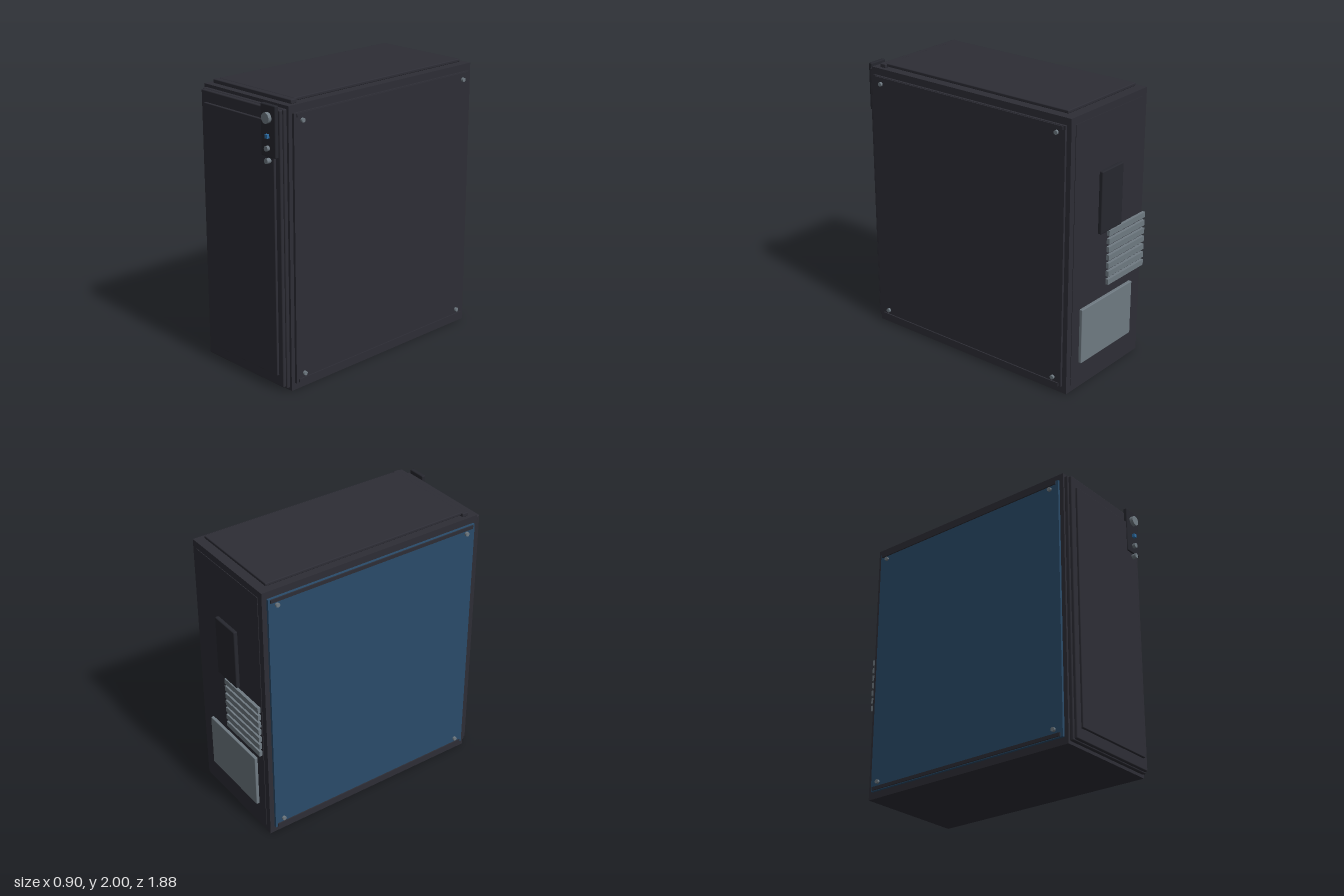
import * as THREE from 'three';
import { RoundedBoxGeometry } from 'three/addons/geometries/RoundedBoxGeometry.js';

const mat = (name, color) => new THREE.MeshStandardMaterial({ name, color });

export function createModel() {
  const shell = mat('charcoal shell', 0x2d2d35);
  const trim = mat('dark trim', 0x26272e);
  const glass = mat('blue tinted glass', 0x2a4b69);
  const metal = mat('grey metal', 0x6f7a82);
  const light = mat('blue light', 0x2c6ca3);

  const model = new THREE.Group();
  model.name = 'computerTower';

  // Box given by its limits on each axis, optionally with rounded edges
  function box(name, material, [x0, x1], [y0, y1], [z0, z1], radius = 0) {
    const size = [x1 - x0, y1 - y0, z1 - z0];
    const geometry = radius
      ? new RoundedBoxGeometry(...size, 2, radius)
      : new THREE.BoxGeometry(...size);
    const mesh = new THREE.Mesh(geometry, material);
    mesh.name = name;
    mesh.position.set((x0 + x1) / 2, (y0 + y1) / 2, (z0 + z1) / 2);
    model.add(mesh);
    return mesh;
  }

  // Short cylinder lying along x or z
  function disc(name, material, radius, depth, position, axis) {
    const geometry = new THREE.CylinderGeometry(radius, radius, depth, 16);
    if (axis === 'z') geometry.rotateX(Math.PI / 2);
    else geometry.rotateZ(Math.PI / 2);
    const mesh = new THREE.Mesh(geometry, material);
    mesh.name = name;
    mesh.position.set(...position);
    model.add(mesh);
  }

  // Case body
  box('caseBody', shell, [-0.416, 0.416], [0, 1.97], [-0.89, 0.84]);
  box('rearPanel', shell, [-0.37, 0.37], [0.05, 1.92], [-0.894, -0.888]);

  // Top cover and the ridge at its front
  box('topCover', shell, [-0.37, 0.37], [1.978, 2], [-0.83, 0.75], 0.006);
  box('topRidge', shell, [-0.387, 0.387], [1.968, 1.997], [0.74, 0.79], 0.006);

  // Stepped front panel
  box('frontFrame', shell, [-0.402, 0.402], [0.02, 1.95], [0.838, 0.868], 0.008);
  box('frontFascia', shell, [-0.39, 0.39], [0.03, 1.945], [0.86, 0.89], 0.008);
  box('frontInset', shell, [-0.347, 0.347], [0.11, 1.865], [0.885, 0.906], 0.005);

  // Control strip with its buttons and light
  box('controlStrip', trim, [0.235, 0.375], [1.63, 1.975], [0.885, 0.915], 0.008);
  disc('powerButton', metal, 0.036, 0.03, [0.305, 1.89, 0.925], 'z');
  box('statusLight', light, [0.293, 0.317], [1.757, 1.783], [0.905, 0.935]);
  disc('upperPort', metal, 0.018, 0.03, [0.305, 1.69, 0.922], 'z');
  disc('lowerPort', metal, 0.018, 0.035, [0.305, 1.607, 0.92], 'z');

  // Side panels with rails and corner screws
  for (const side of [-1, 1]) {
    const label = side > 0 ? 'left' : 'right';
    const span = (a, b) => (side > 0 ? [a, b] : [-b, -a]);
    box(label + 'SidePanel', side > 0 ? shell : glass,
      span(0.414, 0.434), [0.05, 1.92], [-0.855, 0.81]);
    for (const y of [0.067, 1.905]) {
      box(label + 'Rail', shell, span(0.433, 0.443), [y - 0.012, y + 0.012], [-0.84, 0.79]);
    }
    for (const y of [0.11, 1.867]) {
      for (const z of [-0.79, 0.74]) {
        disc(label + 'Screw', metal, 0.015, 0.018, [side * 0.441, y, z], 'x');
      }
    }
  }

  // Rear connector plate
  box('connectorPlate', trim, [-0.12, 0.117], [1.09, 1.535], [-0.93, -0.9], 0.008);

  // Expansion slot covers
  for (let i = 0; i < 7; i++) {
    const y = 0.71 + i * 0.06;
    box('slotCover', metal, [-0.39, 0.027], [y - 0.02, y + 0.02], [-0.936, -0.914]);
  }

  // Power supply plate
  box('powerSupplyPlate', metal, [-0.29, 0.287], [0.19, 0.595], [-0.916, -0.885], 0.005);

  return model;
}
